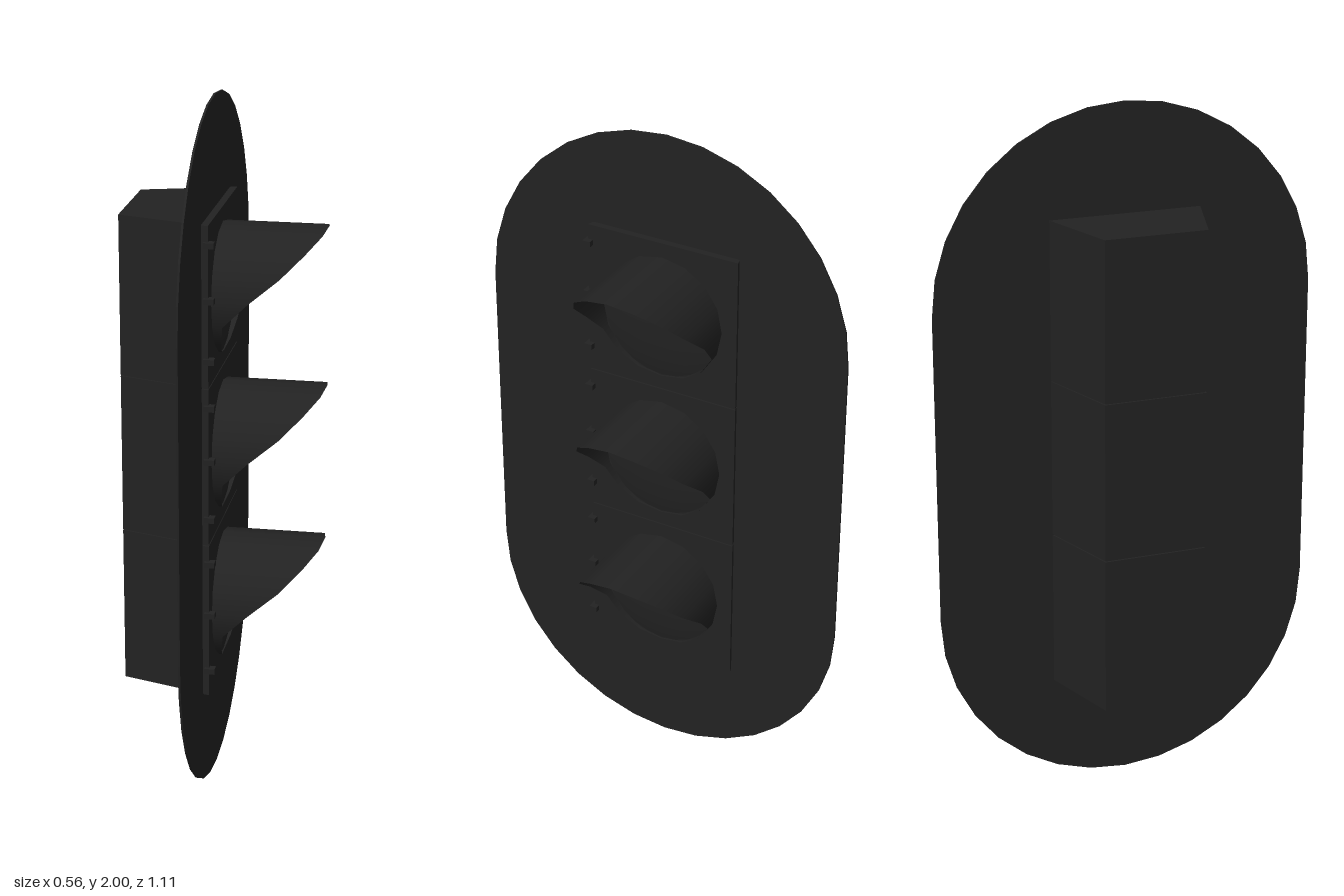
import * as THREE from 'three';

export function createModel() {
  const model = new THREE.Group();
  const black = new THREE.MeshStandardMaterial({ color: 0x222222, side: THREE.DoubleSide });
  black.name = 'matte black';

  const add = (parent, name, geometry, x = 0, y = 0, z = 0) => {
    const mesh = new THREE.Mesh(geometry, black);
    mesh.name = name;
    mesh.position.set(x, y, z);
    parent.add(mesh);
    return mesh;
  };

  // Tapered block, wide towards +x, centred on its height
  const taperedBlock = (backX, frontX, backHalf, frontHalf, height) => {
    const outline = new THREE.Shape([
      new THREE.Vector2(backX, -backHalf),
      new THREE.Vector2(frontX, -frontHalf),
      new THREE.Vector2(frontX, frontHalf),
      new THREE.Vector2(backX, backHalf),
    ]);
    return new THREE.ExtrudeGeometry(outline, { depth: height, bevelEnabled: false })
      .rotateX(-Math.PI / 2)
      .translate(0, -height / 2, 0);
  };

  // Backplate: a thin stadium, rounded at top and bottom
  const R = 0.553;
  const points = [];
  for (let end = 0; end < 2; end++) {
    for (let i = 0; i <= 16; i++) {
      const a = end * Math.PI + (i / 16) * Math.PI;
      points.push(new THREE.Vector2(Math.cos(a) * R, (end ? R : 2 - R) + Math.sin(a) * R));
    }
  }
  const plate = new THREE.ExtrudeGeometry(new THREE.Shape(points), { depth: 0.006, bevelEnabled: false });
  plate.rotateY(Math.PI / 2);
  add(model, 'backplate', plate, -0.044);

  // Visor: a tube whose front rim follows a sloping cut, from top to bottom
  const r = 0.185;
  const reach = [0.278, 0.268, 0.228, 0.166, 0.08, 0.01, 0, -0.009, -0.015];
  const visor = new THREE.CylinderGeometry(r, r, 1, 16, 1, true).rotateZ(-Math.PI / 2);
  const pos = visor.attributes.position;
  for (let i = 0; i < pos.count; i++) {
    const angle = Math.acos(THREE.MathUtils.clamp(pos.getY(i) / r, -1, 1));
    const step = Math.round(angle / (Math.PI / 8));
    pos.setX(i, pos.getX(i) > 0 ? reach[step] : -0.022);
  }

  // Shallow domed lens
  const lens = new THREE.LatheGeometry(
    [[0.182, 0], [0.15, 0.008], [0.1, 0.014], [0.05, 0.018], [0, 0.019]].map(p => new THREE.Vector2(...p)), 24
  ).rotateZ(-Math.PI / 2);

  const housing = taperedBlock(-0.28, -0.036, 0.147, 0.222, 0.455);
  const door = taperedBlock(-0.036, -0.018, 0.226, 0.231, 0.455);
  const hinge = new THREE.BoxGeometry(0.03, 0.016, 0.024);

  // Three stacked signal sections
  const names = ['lowerSignal', 'middleSignal', 'upperSignal'];
  names.forEach((name, i) => {
    const signal = new THREE.Group();
    signal.name = name;
    signal.position.y = 0.546 + i * 0.4585 + (i - 1) * 0.004;
    if (i === 0) signal.position.y = 0.5455;
    if (i === 1) signal.position.y = 1.004;
    if (i === 2) signal.position.y = 1.4625;
    add(signal, 'housing', housing);
    add(signal, 'door', door);
    add(signal, 'lens', lens, -0.018, 0.0, 0);
    add(signal, 'visor', visor);
    for (const y of [0.175, 0.02, -0.15]) add(signal, 'hinge', hinge, -0.016, y, 0.228);
    model.add(signal);
  });

  // Inner core closing the seams between sections
  add(model, 'core', taperedBlock(-0.274, -0.024, 0.143, 0.222, 1.3), 0, 1.004);

  return model;
}
